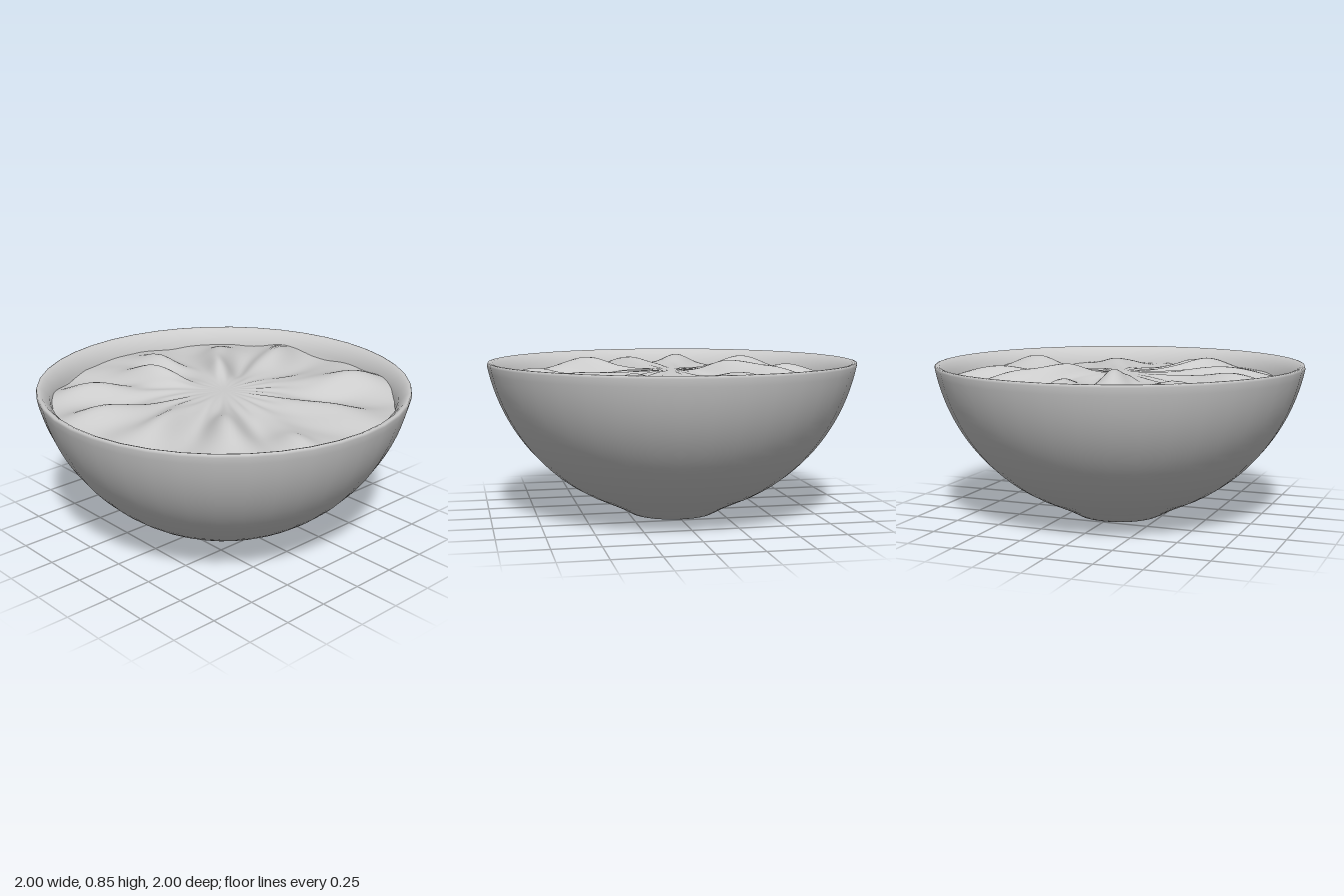
import * as THREE from 'three';
import { mergeVertices } from 'three/addons/utils/BufferGeometryUtils.js';

const CENTER_Y = 1.02;

// Points along a spherical wall of radius R, from one height to another
function wall(R, y0, y1, n) {
  const points = [];
  for (let i = 0; i <= n; i++) {
    const y = y0 + (y1 - y0) * (i / n);
    points.push(new THREE.Vector2(Math.sqrt(R * R - (y - CENTER_Y) ** 2), y));
  }
  return points;
}

// Folds running out from the middle: [angle in degrees (x towards z), height, half width, radius of the peak, radial width]
const folds = [
  [-22, 0.07, 0.11, 0.66, 0.26], [-8, -0.045, 0.12, 0.65, 0.3],
  [-51, 0.075, 0.1, 0.34, 0.24], [-49, 0.045, 0.1, 0.65, 0.18], [-35, -0.05, 0.1, 0.45, 0.3],
  [-83, 0.055, 0.08, 0.63, 0.17], [-69, -0.025, 0.1, 0.65, 0.25],
  [-109, 0.076, 0.1, 0.46, 0.2], [-91, -0.03, 0.08, 0.42, 0.2],
  [-135, 0.06, 0.11, 0.72, 0.2], [-121, -0.04, 0.12, 0.7, 0.25],
  [-167, 0.065, 0.1, 0.72, 0.25], [-152, -0.03, 0.12, 0.55, 0.25],
  [165, 0.055, 0.1, 0.58, 0.3], [149, -0.045, 0.12, 0.6, 0.32],
  [130, 0.07, 0.1, 0.56, 0.2], [112, -0.045, 0.1, 0.55, 0.22],
  [104, 0.045, 0.07, 0.75, 0.15], [85, -0.02, 0.1, 0.6, 0.3],
  [67, 0.035, 0.1, 0.65, 0.28], [47, -0.045, 0.12, 0.58, 0.25],
  [28, 0.065, 0.11, 0.74, 0.2],
];

function surfaceHeight(x, z) {
  const r = Math.hypot(x, z);
  const a = Math.atan2(z, x);
  const spread = THREE.MathUtils.smoothstep(r, 0, 0.33);
  // a slight meander keeps the folds from running dead straight
  const bent = a + 0.02 * Math.sin(9 * r + 3 * a);
  let y = 0.787 - 0.05 * r * r;
  for (const [deg, height, width, peak, length] of folds) {
    const d = bent - THREE.MathUtils.degToRad(deg);
    const across = Math.atan2(Math.sin(d), Math.cos(d)) * r / (width * (0.4 + r));
    y += height * spread * Math.exp(-(across ** 2) - ((r - peak) / length) ** 2);
  }
  // fine wrinkles near the middle and ripples towards the edge
  y += 0.003 * spread * Math.sin(a * 23) * Math.exp(-(((r - 0.25) / 0.2) ** 2));
  y += 0.003 * spread * Math.sin(a * 17 + 4 * r) * Math.sin(a * 5 + 11 * r);
  return y;
}

export function createModel() {
  const model = new THREE.Group();
  const material = new THREE.MeshStandardMaterial({ color: 0xcccccc, side: THREE.DoubleSide });

  // Bowl: flat foot, round outside, soft rim and inner wall in one profile
  const v = (x, y) => new THREE.Vector2(x, y);
  const profile = [
    v(0, 0), v(0.235, 0), v(0.31, 0.041),
    ...wall(1.02, 0.075, 0.825, 20),
    v(0.998, 0.838), v(0.99, 0.84), v(0.975, 0.835), v(0.96, 0.82),
    ...wall(0.96, 0.79, 0.12, 16),
    v(0, 0.06),
  ];
  const bowl = new THREE.Mesh(new THREE.LatheGeometry(profile, 40), material);
  bowl.name = 'bowl';
  model.add(bowl);

  // Filling: a disc raised into radial folds
  let disc = new THREE.RingGeometry(0.002, 0.926, 180, 48).rotateX(-Math.PI / 2);
  disc.deleteAttribute('uv');
  disc.deleteAttribute('normal');
  disc = mergeVertices(disc, 1e-5);
  const pos = disc.attributes.position;
  for (let i = 0; i < pos.count; i++) pos.setY(i, surfaceHeight(pos.getX(i), pos.getZ(i)));
  disc.computeVertexNormals();
  const filling = new THREE.Mesh(disc, material);
  filling.name = 'filling';
  model.add(filling);

  return model;
}
